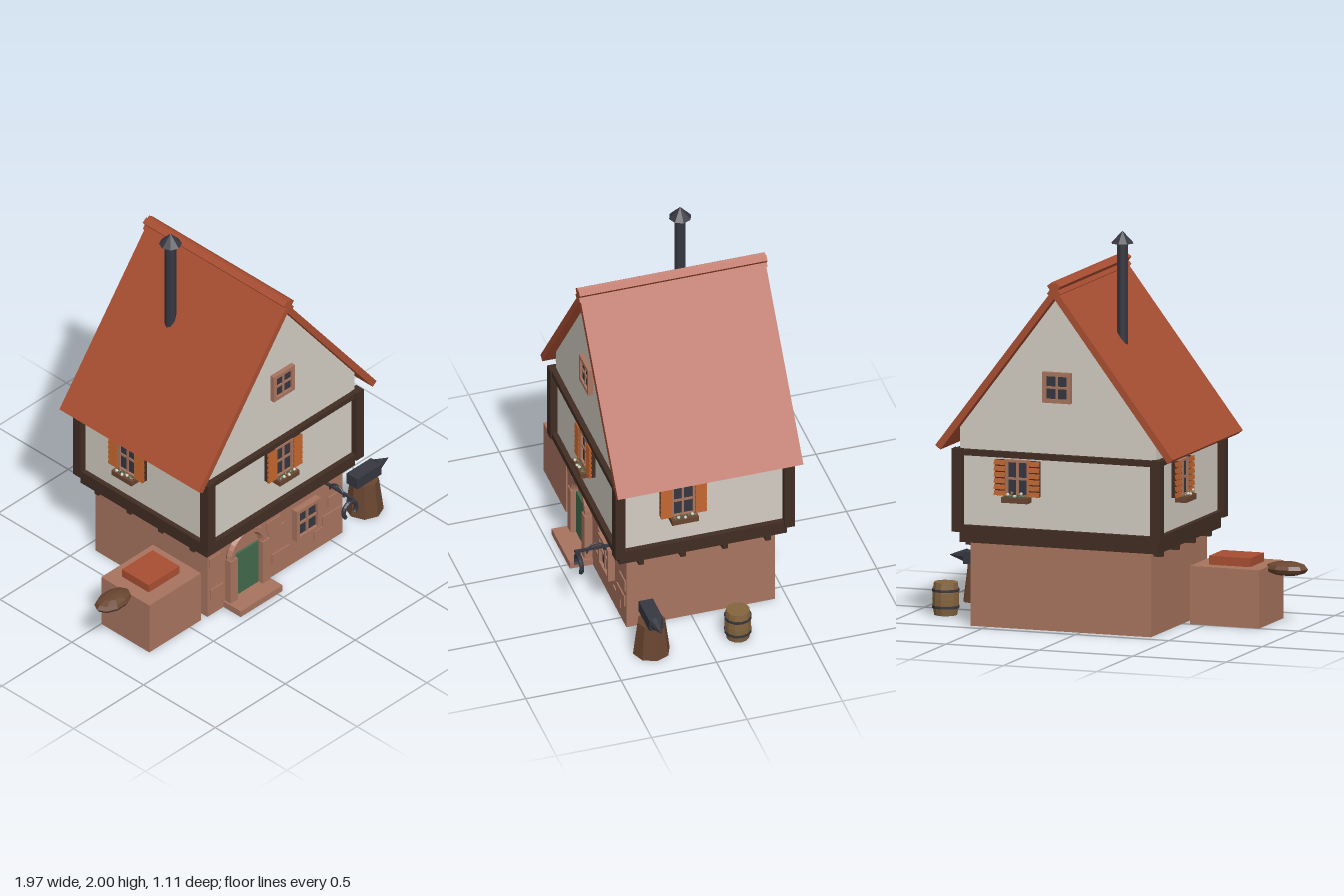
import * as THREE from 'three';

const mat = (name, color, extra = {}) => {
  const m = new THREE.MeshStandardMaterial({ color, flatShading: true, ...extra });
  m.name = name;
  return m;
};

export function createModel() {
  const M = {
    stone: mat('stone', 0xa8745f),
    roof: mat('roof tile', 0xa84e32),
    plaster: mat('plaster', 0xd2ccc2),
    timber: mat('dark timber', 0x412d23),
    iron: mat('iron and glass', 0x363740),
    shutter: mat('shutter orange', 0xb85f2a),
    wood: mat('brown wood', 0x694530),
    barrel: mat('barrel wood', 0x84643e),
    door: mat('door green', 0x42694b),
  };
  const root = new THREE.Group();
  root.name = 'smithy';

  const group = (name, parent = root) => {
    const g = new THREE.Group();
    g.name = name;
    parent.add(g);
    return g;
  };
  const add = (parent, name, geo, m, x = 0, y = 0, z = 0) => {
    const mesh = new THREE.Mesh(geo, m);
    mesh.name = name;
    mesh.position.set(x, y, z);
    parent.add(mesh);
    return mesh;
  };
  // box given by its limits on each axis
  const box = (parent, name, m, x0, x1, y0, y1, z0, z1) =>
    add(parent, name, new THREE.BoxGeometry(x1 - x0, y1 - y0, z1 - z0), m,
      (x0 + x1) / 2, (y0 + y1) / 2, (z0 + z1) / 2);
  // outline in the front plane, extruded from z0 to z1
  const prism = (parent, name, m, pts, z0, z1) => {
    const shape = new THREE.Shape(pts.map(p => new THREE.Vector2(...p)));
    const geo = new THREE.ExtrudeGeometry(shape, { depth: z1 - z0, bevelEnabled: false });
    return add(parent, name, geo, m, 0, 0, z0);
  };

  // ---- Ground floor ----
  const ground = group('groundFloor');
  box(ground, 'stoneWalls', M.stone, -0.38, 0.585, 0, 0.43, -0.44, 0.34);
  const stones = [[-0.37, -0.29, 0.3, 0.36], [-0.36, -0.27, 0.1, 0.16], [0.04, 0.14, 0.3, 0.36],
    [0.05, 0.17, 0.24, 0.3], [0.08, 0.2, 0.08, 0.14], [0.44, 0.57, 0.12, 0.18],
    [0.38, 0.5, 0.06, 0.12], [0.48, 0.58, 0.22, 0.28]];
  for (const [x0, x1, y0, y1] of stones) box(ground, 'raisedStone', M.stone, x0, x1, y0, y1, 0.335, 0.347);

  // ---- Door ----
  const door = group('door');
  box(door, 'doorStep', M.stone, -0.265, 0.035, 0, 0.036, 0.34, 0.46);
  box(door, 'doorLeaf', M.door, -0.205, -0.02, 0.036, 0.29, 0.33, 0.352);
  for (const x of [-0.255, -0.025]) box(door, 'doorJamb', M.stone, x, x + 0.052, 0.036, 0.295, 0.34, 0.38);
  add(door, 'doorArch', new THREE.TorusGeometry(0.115, 0.025, 6, 14, Math.PI), M.stone, -0.115, 0.29, 0.352);

  // ---- Jettied upper floor ----
  const upper = group('upperFloor');
  for (const z of [0.275, 0.055, -0.165, -0.39])
    box(upper, 'joist', M.timber, -0.425, 0.625, 0.403, 0.435, z - 0.014, z + 0.014);
  box(upper, 'floorBeam', M.timber, -0.435, 0.625, 0.43, 0.487, -0.49, 0.39);
  box(upper, 'plasterWalls', M.plaster, -0.425, 0.62, 0.487, 0.9, -0.485, 0.385);
  for (const x of [-0.46, 0.603]) for (const z of [-0.52, 0.367])
    box(upper, 'cornerPost', M.timber, x, x + 0.054, 0.485, 0.906, z, z + 0.054);
  for (const [y0, y1] of [[0.485, 0.52], [0.874, 0.904]]) {
    for (const z of [-0.512, 0.367]) box(upper, 'rail', M.timber, -0.45, 0.647, y0, y1, z, z + 0.046);
    for (const x of [-0.452, 0.603]) box(upper, 'rail', M.timber, x, x + 0.046, y0, y1, -0.512, 0.412);
  }

  // ---- Gable and roof ----
  const cx = 0.1, slope = 1.312;
  prism(root, 'gable', M.plaster,
    [[-0.425, 0.9], [0.625, 0.9], [0.625, 1.02], [cx, 1.71], [-0.425, 1.02]], -0.485, 0.385);
  const roof = group('roof');
  for (const s of [-1, 1]) {
    const pts = [[cx, 1.755], [cx, 1.7], [cx + s * 0.608, 0.9], [cx + s * 0.636, 0.921]];
    prism(roof, 'roofSlope', M.roof, pts, -0.54, 0.432);
    const cap = add(roof, 'ridgeCap', new THREE.BoxGeometry(0.075, 0.034, 0.984), M.roof, cx, 1.744, -0.052);
    cap.rotation.z = s * Math.atan(slope);
  }

  // ---- Chimney ----
  const chimney = group('chimney');
  add(chimney, 'flue', new THREE.CylinderGeometry(0.029, 0.029, 0.64, 8), M.iron, -0.123, 1.63, -0.168);
  add(chimney, 'flueCap', new THREE.ConeGeometry(0.058, 0.062, 8), M.iron, -0.123, 1.969, -0.168);

  // ---- Windows: local z = 0 is the wall face ----
  const paneWindow = (parent, name, w, h, bar, depth, frameMat) => {
    const g = group(name, parent);
    box(g, 'glass', M.iron, -w / 2 + bar, w / 2 - bar, -h / 2 + bar, h / 2 - bar, 0, depth * 0.5);
    for (const s of [-1, 1]) {
      add(g, 'frameSide', new THREE.BoxGeometry(bar, h, depth), frameMat, s * (w - bar) / 2, 0, depth / 2);
      add(g, 'frameEnd', new THREE.BoxGeometry(w, bar, depth), frameMat, 0, s * (h - bar) / 2, depth / 2);
    }
    add(g, 'mullion', new THREE.BoxGeometry(0.012, h - bar, depth * 0.75), frameMat, 0, 0, depth * 0.375);
    add(g, 'transom', new THREE.BoxGeometry(w - bar, 0.012, depth * 0.75), frameMat, 0, 0, depth * 0.375);
    return g;
  };
  paneWindow(root, 'groundWindow', 0.17, 0.188, 0.021, 0.035, M.stone).position.set(0.31, 0.25, 0.34);
  paneWindow(root, 'frontAtticWindow', 0.15, 0.155, 0.02, 0.025, M.stone).position.set(cx, 1.243, 0.385);
  const backAttic = paneWindow(root, 'backAtticWindow', 0.15, 0.155, 0.02, 0.025, M.stone);
  backAttic.position.set(cx, 1.243, -0.485);
  backAttic.rotation.y = Math.PI;

  const shutteredWindow = (x, z, turn) => {
    const g = group('shutteredWindow');
    paneWindow(g, 'casement', 0.125, 0.19, 0.012, 0.025, M.stone);
    for (const s of [-1, 1]) {
      const sh = group('shutter', g);
      sh.position.x = s * 0.091;
      box(sh, 'shutterBack', M.timber, -0.026, 0.026, -0.088, 0.092, 0, 0.022);
      for (let i = 0; i < 6; i++) {
        const slat = add(sh, 'slat', new THREE.BoxGeometry(0.059, 0.025, 0.012), M.shutter, 0, -0.075 + i * 0.031, 0.027);
        slat.rotation.x = -0.2;
      }
    }
    // flower box
    box(g, 'flowerBox', M.wood, -0.07, 0.07, -0.118, -0.09, 0, 0.062);
    for (let i = 0; i < 7; i++) {
      const fx = -0.054 + i * 0.018, fy = -0.082 + (i % 3) * 0.007;
      add(g, 'leaf', new THREE.IcosahedronGeometry(0.009, 0), M.door, fx, -0.088, 0.04);
      add(g, 'flower', new THREE.IcosahedronGeometry(0.009, 0), i % 2 ? M.plaster : M.barrel, fx, fy, 0.05 + (i % 2) * 0.008);
    }
    g.position.set(x, 0.77, z);
    g.rotation.y = turn;
  };
  shutteredWindow(cx, 0.385, 0);
  shutteredWindow(0.31, -0.485, Math.PI);
  shutteredWindow(0.62, 0.06, Math.PI / 2);
  shutteredWindow(-0.425, -0.155, -Math.PI / 2);

  // ---- Hanging horseshoe sign ----
  const sign = group('horseshoeSign');
  box(sign, 'bracketBar', M.iron, 0.427, 0.441, 0.408, 0.42, 0.34, 0.563);
  const scroll = add(sign, 'bracketScroll', new THREE.TorusGeometry(0.048, 0.006, 6, 12, Math.PI), M.iron, 0.434, 0.392, 0.45);
  scroll.rotation.y = Math.PI / 2;
  box(sign, 'hanger', M.iron, 0.429, 0.439, 0.375, 0.412, 0.535, 0.545);
  const shoe = add(sign, 'horseshoe', new THREE.TorusGeometry(0.045, 0.012, 6, 16, Math.PI * 1.5), M.iron, 0.434, 0.335, 0.54);
  shoe.rotation.z = -Math.PI / 4;

  // ---- Forge with bellows ----
  const forge = group('forge');
  box(forge, 'forgeBase', M.stone, -0.79, -0.42, 0, 0.295, 0, 0.335);
  box(forge, 'fireBed', M.roof, -0.715, -0.495, 0.295, 0.34, 0.07, 0.258);
  const bellows = add(forge, 'bellows', new THREE.SphereGeometry(1, 10, 6), M.wood, -0.873, 0.284, 0.165);
  bellows.scale.set(0.115, 0.037, 0.07);

  // ---- Anvil on a stump ----
  const anvil = group('anvil');
  add(anvil, 'stump', new THREE.CylinderGeometry(0.072, 0.096, 0.187, 8), M.wood, 0.805, 0.0935, 0.28);
  box(anvil, 'anvilBody', M.iron, 0.715, 0.89, 0.187, 0.25, 0.243, 0.317);
  const horn = add(anvil, 'anvilHorn', new THREE.ConeGeometry(0.036, 0.095, 8), M.iron, 0.93, 0.224, 0.28);
  horn.rotation.z = -Math.PI / 2;

  // ---- Barrel ----
  const barrel = group('barrel');
  const staves = [[0, 0], [0.058, 0], [0.067, 0.05], [0.068, 0.083], [0.067, 0.115], [0.06, 0.166], [0, 0.166]]
    .map(p => new THREE.Vector2(...p));
  add(barrel, 'staves', new THREE.LatheGeometry(staves, 12), M.barrel);
  for (const y of [0.042, 0.126]) add(barrel, 'hoop', new THREE.CylinderGeometry(0.07, 0.07, 0.013, 12), M.iron, 0, y, 0);
  barrel.position.set(0.823, 0, -0.168);

  return root;
}
